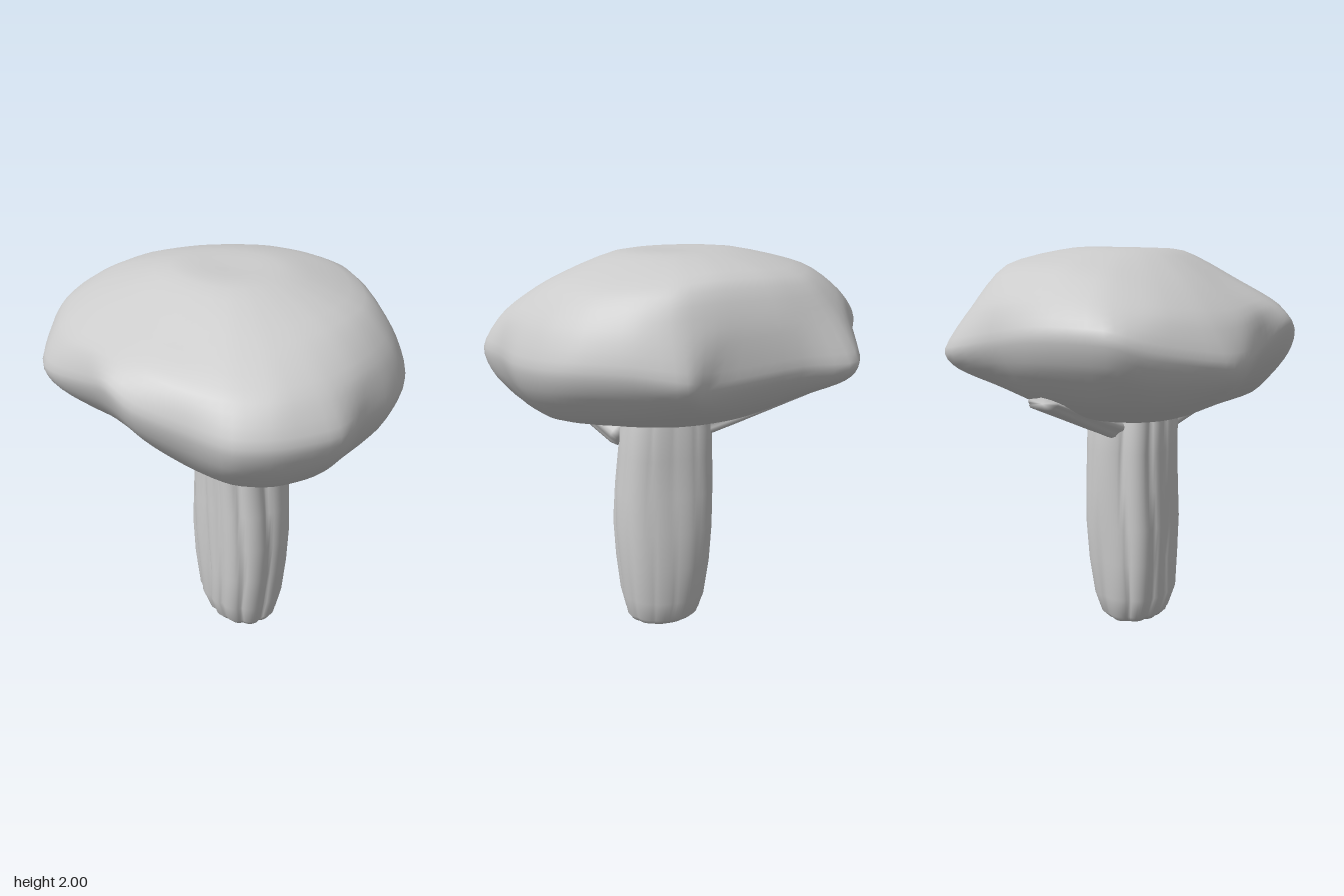
import * as THREE from 'three';

const material = new THREE.MeshStandardMaterial({ color: 0xcccccc });
const mix = THREE.MathUtils.lerp;
const V = (x, y, z) => new THREE.Vector3(x, y, z);

// Skin a stack of closed rings (ordered upward, each running from +x towards +z).
function skin(name, rings) {
  const n = rings[0].length, index = [];
  for (let i = 0; i < rings.length - 1; i++) {
    for (let j = 0; j < n; j++) {
      const a = i * n + j, b = i * n + (j + 1) % n;
      index.push(a, a + n, b, b, a + n, b + n);
    }
  }
  const geometry = new THREE.BufferGeometry().setFromPoints(rings.flat());
  geometry.setIndex(index);
  geometry.computeVertexNormals();
  const mesh = new THREE.Mesh(geometry, material);
  mesh.name = name;
  return mesh;
}

// Foliage ribs: rim x, rim z, rim height, shoulder height, underside height, shoulder fraction.
const ribs = [
  [0.81, 0.12, 1.50, 1.90, 1.29, 0.81], [0.74, 0.35, 1.53, 1.88, 1.28, 0.80], [0.61, 0.60, 1.53, 1.87, 1.26, 0.77],
  [0.47, 0.74, 1.52, 1.87, 1.23, 0.75], [0.28, 0.84, 1.51, 1.87, 1.20, 0.74], [0.07, 0.89, 1.51, 1.86, 1.20, 0.72],
  [-0.14, 0.96, 1.51, 1.84, 1.19, 0.67], [-0.40, 0.88, 1.50, 1.82, 1.18, 0.67], [-0.57, 0.75, 1.50, 1.81, 1.19, 0.67],
  [-0.66, 0.54, 1.52, 1.82, 1.22, 0.67], [-0.78, 0.30, 1.57, 1.83, 1.29, 0.67], [-0.81, 0.13, 1.63, 1.84, 1.33, 0.67],
  [-0.77, -0.10, 1.56, 1.84, 1.32, 0.67], [-0.79, -0.40, 1.51, 1.83, 1.29, 0.67], [-0.75, -0.58, 1.51, 1.83, 1.28, 0.69],
  [-0.52, -0.86, 1.57, 1.85, 1.28, 0.71], [-0.36, -0.97, 1.63, 1.88, 1.30, 0.71], [0.00, -0.96, 1.63, 1.91, 1.30, 0.71],
  [0.30, -0.84, 1.58, 1.91, 1.31, 0.74], [0.63, -0.74, 1.52, 1.88, 1.32, 0.72], [0.68, -0.45, 1.52, 1.92, 1.31, 0.79],
  [0.74, -0.04, 1.48, 1.92, 1.27, 0.83],
];

// Average every rib with its neighbours, a few times over.
function softened(list, passes) {
  for (let p = 0; p < passes; p++) {
    list = list.map((rib, i) => rib.map((v, k) =>
      (list.at(i - 1)[k] + 2 * v + list[(i + 1) % list.length][k]) / 4));
  }
  return list;
}

function foliage() {
  // Key rings from the underside to the crown: softening, rim fraction, height.
  const levels = [
    [4, () => 0.002, () => 1.15],
    [3, () => 0.45, (rim, top, low) => mix(1.14, low, 0.15)],
    [1, () => 0.78, (rim, top, low) => low],
    [0, () => 0.94, (rim, top, low) => mix(low, rim, 0.5)],
    [0, () => 1, rim => rim],
    [1, f => mix(1, f, 0.25), (rim, top) => mix(rim, top, 0.53)],
    [1, f => f, (rim, top) => top],
    [4, f => f * 0.5, (rim, top) => mix(2.015, top, 0.2)],
    [4, () => 0.002, () => 1.99],
  ];
  const columns = 88;
  const keyRings = levels.map(([passes, fraction, height]) => {
    const points = softened(ribs, passes).map(([x, z, rim, top, low, f]) =>
      V(x * fraction(f), height(rim, top, low), z * fraction(f)));
    const curve = new THREE.CatmullRomCurve3(points, true, 'catmullrom', 0.4);
    return Array.from({ length: columns }, (_, j) => curve.getPoint(j / columns));
  });
  const steps = 32;
  const profiles = keyRings[0].map((_, j) =>
    new THREE.CatmullRomCurve3(keyRings.map(ring => ring[j]), false, 'catmullrom', 0.4));
  const rings = Array.from({ length: steps + 1 }, (_, i) => profiles.map(c => c.getPoint(i / steps)));
  return skin('foliage', rings);
}

// Trunk: rounded foot, squarish section, bark furrows weaker on the left side.
function trunk() {
  // height, x centre, z centre, x radius, z radius
  const sections = [
    [0, 0.02, 0.08, 0.001, 0.001], [0.005, 0.02, 0.085, 0.14, 0.17], [0.04, 0.02, 0.08, 0.175, 0.2],
    [0.15, 0.015, 0.075, 0.207, 0.228], [0.35, 0.02, 0.075, 0.214, 0.245], [0.55, 0.02, 0.075, 0.222, 0.257],
    [0.75, 0.02, 0.07, 0.217, 0.255], [0.95, 0.02, 0.065, 0.214, 0.242], [1.1, 0.02, 0.065, 0.215, 0.237],
    [1.25, 0.02, 0.065, 0.19, 0.21],
  ];
  const rings = sections.map(([y, cx, cz, rx, rz]) => Array.from({ length: 112 }, (_, j) => {
    const a = j / 112 * Math.PI * 2;
    const depth = 0.13 * (1 - 0.85 * Math.max(0, Math.cos(a)));
    const wave = Math.abs(Math.sin(5.5 * a + 0.35 * Math.sin(5 * y) + 0.7 * Math.sin(2 * a) + 0.5));
    const corner = (0.1 - 0.03 * Math.sin(a)) * Math.min(1, y / 0.3) * Math.sin(2 * a) ** 2;
    const r = 1.015 + corner - depth * (1 - Math.sqrt(wave)) + 0.015 * Math.sin(3 * a + 5 * y);
    return V(cx + rx * r * Math.cos(a), y, cz + rz * r * Math.sin(a));
  }));
  return skin('trunk', rings);
}

// Branch: ridged, tapering limb with flat ends; half width and half thickness at each end.
function branch(name, from, to, [w0, t0], [w1, t1]) {
  const forward = to.clone().sub(from).normalize();
  const side = V(0, 1, 0).cross(forward).normalize();
  const up = forward.clone().cross(side);
  const stops = [[0, 0.001], [0, 0.85], [0.06, 1], [0.35, 1.02], [0.7, 1], [1, 1], [1, 0.001]];
  const rings = stops.map(([t, s]) => Array.from({ length: 24 }, (_, j) => {
    const a = j / 24 * Math.PI * 2;
    const r = s * (1 + 0.09 * Math.sin(5 * a + t));
    return from.clone().lerp(to, t)
      .addScaledVector(up, r * mix(t0, t1, t) * Math.cos(a))
      .addScaledVector(side, r * mix(w0, w1, t) * Math.sin(a));
  }));
  return skin(name, rings);
}

export function createModel() {
  const tree = new THREE.Group();
  tree.name = 'tree';
  tree.add(
    trunk(),
    foliage(),
    branch('frontBranch', V(-0.01, 1.035, 0.27), V(-0.38, 1.33, 0.64), [0.07, 0.075], [0.07, 0.06]),
    branch('backBranch', V(0.04, 1.06, -0.06), V(0.1, 1.285, -0.72), [0.08, 0.065], [0.085, 0.03]),
  );
  return tree;
}
